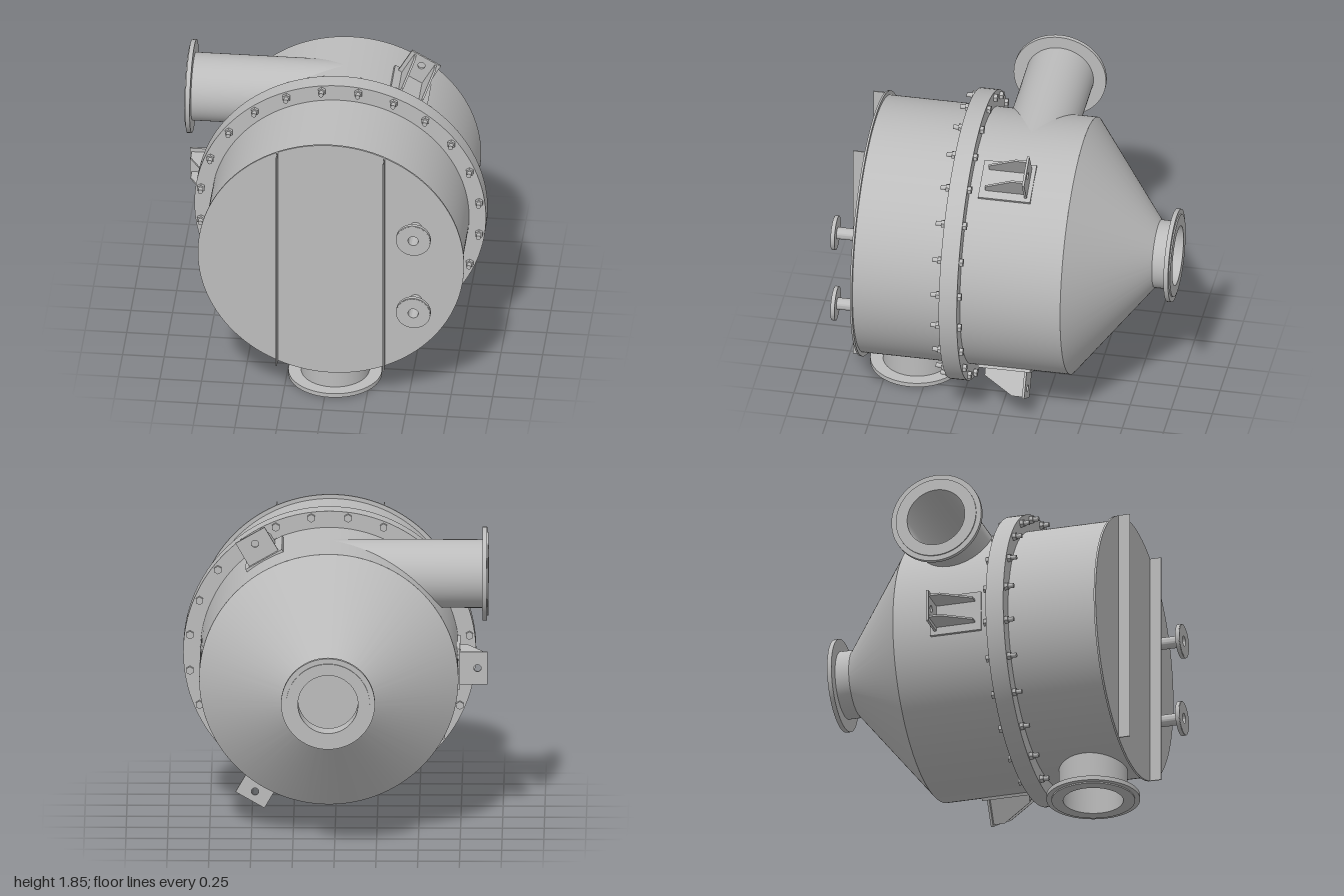
import * as THREE from 'three';
import { toCreasedNormals } from 'three/addons/utils/BufferGeometryUtils.js';

export function createModel() {
  const steel = new THREE.MeshStandardMaterial({ color: 0xbcbcbc, side: THREE.DoubleSide });
  steel.name = 'grey steel';

  const model = new THREE.Group();
  model.name = 'pressureVessel';
  // Everything is placed relative to the vessel's axis, which runs along z
  const vessel = new THREE.Group();
  vessel.name = 'vessel';
  vessel.position.set(0.037, 0.97, 0);
  model.add(vessel);

  const add = (name, geometry, parent = vessel) => {
    const mesh = new THREE.Mesh(geometry, steel);
    mesh.name = name;
    parent.add(mesh);
    return mesh;
  };
  const lathe = (points, segments = 64) => toCreasedNormals(
    new THREE.LatheGeometry(points.map(([r, y]) => new THREE.Vector2(r, y)), segments), 0.6);

  // Flanged pipe with an open bore, growing along +y
  const nozzle = (length, bore, pipe, flange, thick, face, lip) => lathe([
    [bore, 0], [pipe, 0], [pipe, length - thick], [flange, length - thick],
    [flange, length - lip], [face, length - lip], [face, length], [bore, length], [bore, 0],
  ]);
  const largeNozzle = (length) => nozzle(length, 0.18, 0.205, 0.281, 0.035, 0.25, 0.008);

  // Cylindrical shell, opened where the inlet and outlet meet it
  const R = 0.775, front = 0.84, back = -0.43;
  const inletY = 0.57, inletZ = -0.107, outletZ = 0.587;
  const shell = new THREE.CylinderGeometry(R, R, front - back, 192, 48, true);
  shell.rotateX(Math.PI / 2).translate(0, 0, (front + back) / 2);
  const pos = shell.attributes.position, source = shell.index.array, kept = [];
  for (let i = 0; i < source.length; i += 3) {
    const c = new THREE.Vector3();
    const corners = [source[i], source[i + 1], source[i + 2]];
    corners.forEach((k) => c.add(new THREE.Vector3().fromBufferAttribute(pos, k)));
    c.divideScalar(3);
    const inInlet = c.x < 0 && c.y > 0 && Math.hypot(c.y - inletY, c.z - inletZ) < 0.19;
    const inOutlet = c.y < 0 && Math.hypot(c.x, c.z - outletZ) < 0.19;
    if (!inInlet && !inOutlet) kept.push(...corners);
  }
  shell.setIndex(kept);
  add('shell', shell);

  // Rear cone and its nozzle
  add('rearCone', lathe([[0.205, -0.88], [R, back]], 128).rotateX(Math.PI / 2));
  add('rearNozzle', largeNozzle(0.12).rotateX(-Math.PI / 2).translate(0, 0, -0.88));

  // Tangential inlet and bottom outlet
  add('inletNozzle', largeNozzle(0.952).rotateZ(Math.PI / 2).translate(0, inletY, inletZ));
  add('outletNozzle', largeNozzle(0.25).rotateX(Math.PI).translate(0, -0.72, outletZ));

  // Front cover with two instrument ports
  const cover = new THREE.Shape().absarc(0, 0, 0.8, 0, Math.PI * 2);
  const portX = 0.51, portY = 0.255;
  for (const side of [-1, 1]) {
    cover.holes.push(new THREE.Path().absarc(portX, side * portY, 0.032, 0, Math.PI * 2, true));
    const port = nozzle(0.155, 0.031, 0.036, 0.104, 0.025, 0.1, 0.002);
    add('frontPort', port.rotateX(Math.PI / 2).translate(portX, side * portY, 0.845));
  }
  const coverPlate = new THREE.ExtrudeGeometry(cover, { depth: 0.012, bevelEnabled: false, curveSegments: 96 });
  add('frontCover', toCreasedNormals(coverPlate, 0.6).translate(0, 0, 0.833));

  // Upright stiffeners on the cover
  for (const side of [-1, 1]) {
    add('coverStiffener', new THREE.BoxGeometry(0.007, 1.465, 0.07)).position.set(side * 0.322, 0, 0.88);
  }

  // Bolted main flange
  add('mainFlange', lathe([[0.77, 0.18], [0.876, 0.18], [0.876, 0.29], [0.77, 0.29]], 128)
    .scale(1, 1, 1).rotateX(Math.PI / 2));
  const hexGeo = new THREE.CylinderGeometry(0.025, 0.025, 0.022, 6).rotateX(Math.PI / 2);
  const studGeo = new THREE.CylinderGeometry(0.014, 0.014, 0.06, 16).rotateX(Math.PI / 2);
  const hex = toCreasedNormals(hexGeo, 0.3);
  for (let i = 0; i < 24; i++) {
    const a = (i + 0.5) * Math.PI / 12;
    const bolt = new THREE.Group();
    bolt.name = 'flangeBolt';
    bolt.position.set(0.843 * Math.cos(a), 0.843 * Math.sin(a), 0);
    add('boltHead', hex, bolt).position.z = 0.169;
    add('nut', hex, bolt).position.z = 0.301;
    add('stud', studGeo, bolt).position.z = 0.315;
    vessel.add(bolt);
  }

  // Support brackets: local x is radial, local y is tangential
  const lug = new THREE.Shape([[0.775, -0.1], [0.947, -0.1], [0.947, 0.1], [0.775, 0.1]]
    .map((p) => new THREE.Vector2(...p)));
  lug.holes.push(new THREE.Path().absarc(0.887, 0, 0.022, 0, Math.PI * 2, true));
  const lugGeo = new THREE.ExtrudeGeometry(lug, { depth: 0.014, bevelEnabled: false, curveSegments: 24 });
  const gusset = new THREE.Shape([[0.775, -0.085], [0.83, -0.085], [0.937, 0.09], [0.937, 0.156], [0.775, 0.156]]
    .map((p) => new THREE.Vector2(...p)));
  const gussetGeo = new THREE.ExtrudeGeometry(gusset, { depth: 0.012, bevelEnabled: false })
    .translate(0, 0, -0.006).rotateX(-Math.PI / 2);
  for (const angle of [Math.PI / 3, Math.PI, -Math.PI / 3]) {
    const bracket = new THREE.Group();
    bracket.name = 'supportBracket';
    bracket.rotation.z = angle;
    add('bracketPad', new THREE.BoxGeometry(0.028, 0.25, 0.317), bracket).position.set(0.769, 0, -0.036);
    add('bracketLug', lugGeo, bracket).position.z = -0.17;
    for (const side of [-1, 1]) {
      // The gusset profile runs from the lug towards the front
      const web = add('bracketGusset', gussetGeo, bracket);
      web.position.y = side * 0.07;
    }
    vessel.add(bracket);
  }
  return model;
}
